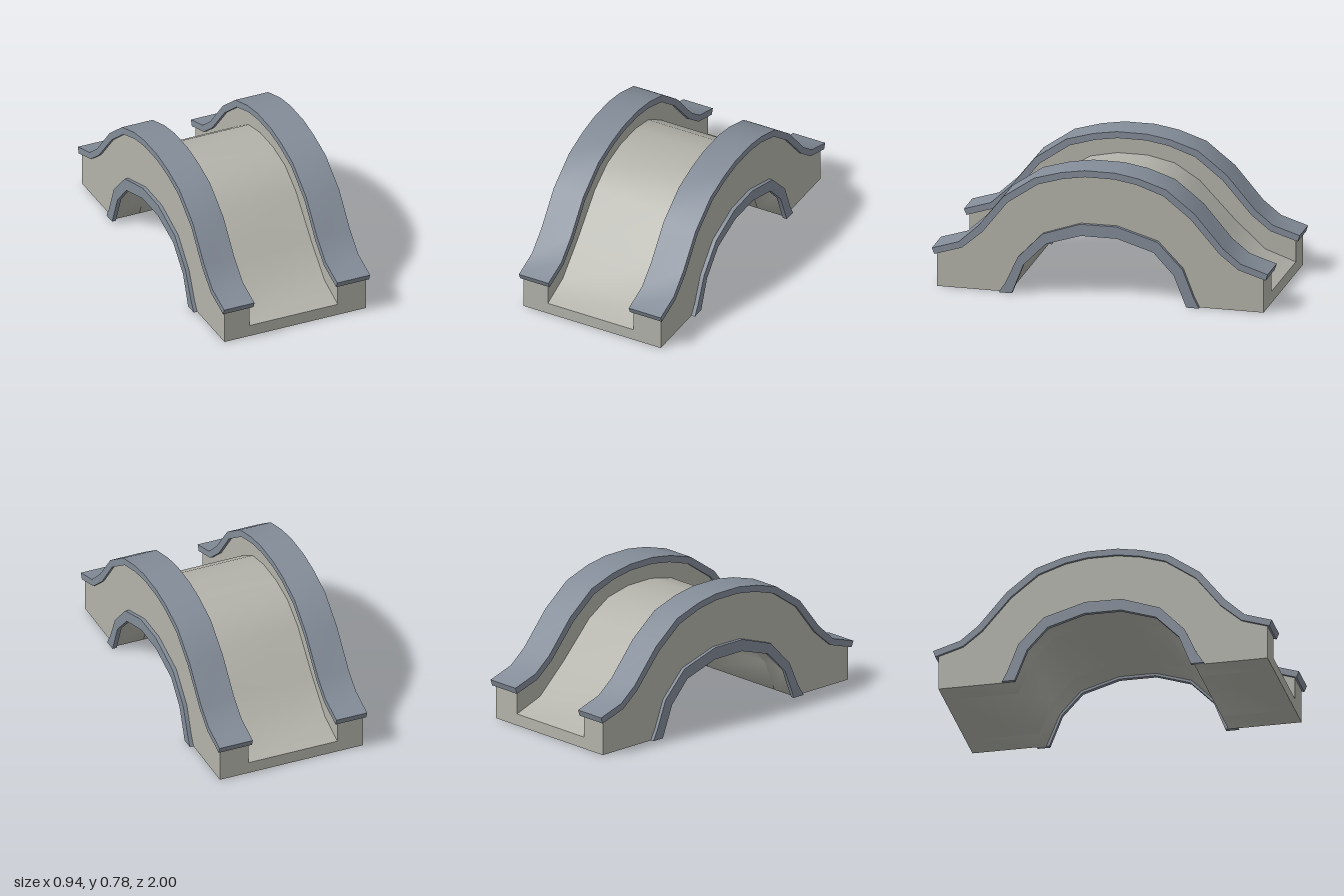
import * as THREE from 'three';
import { toCreasedNormals } from 'three/addons/utils/BufferGeometryUtils.js';

const stone = new THREE.MeshStandardMaterial({ color: 0xb3b3ab });
const slate = new THREE.MeshStandardMaterial({ color: 0x838c98 });

// Side profiles as [z, y], running from the front end to the back end
const capTop = [[1, 0.233], [0.84, 0.284], [0.725, 0.39], [0.575, 0.58], [0.39, 0.708], [0.23, 0.755], [0.09, 0.778],
  [-0.09, 0.778], [-0.23, 0.755], [-0.395, 0.701], [-0.565, 0.568], [-0.735, 0.37], [-0.84, 0.287], [-1, 0.237]];
const capBottom = [[0.985, 0.197], [0.82, 0.25], [0.698, 0.356], [0.55, 0.546], [0.37, 0.671], [0.22, 0.717], [0.085, 0.739],
  [-0.085, 0.739], [-0.22, 0.717], [-0.378, 0.662], [-0.54, 0.535], [-0.713, 0.337], [-0.825, 0.25], [-0.988, 0.2]];
const deckHalf = [[0.972, 0.07], [0.79, 0.134], [0.61, 0.298], [0.4, 0.518], [0.25, 0.611], [0.09, 0.645]];
const deckTop = [...deckHalf, ...deckHalf.map(([z, y]) => [-z, y]).reverse()];
const ringOuter = [[0.6, 0], [0.56, 0.062], [0.488, 0.22], [0.34, 0.375], [0.115, 0.453],
  [-0.1, 0.455], [-0.345, 0.382], [-0.495, 0.228], [-0.56, 0.062], [-0.592, 0]];
const ringInner = [[0.522, 0], [0.452, 0.179], [0.317, 0.317], [0.11, 0.383],
  [-0.105, 0.383], [-0.322, 0.317], [-0.443, 0.187], [-0.517, 0]];
const soffit = [[0.54, 0], [0.463, 0.187], [0.323, 0.331], [0.11, 0.398],
  [-0.105, 0.398], [-0.328, 0.331], [-0.455, 0.194], [-0.535, 0]];

// Extrudes a [z, y] outline across the bridge from x0 to x1
function slab(name, upper, lower, [x0, x1], material, crease) {
  const points = [...upper, ...[...lower].reverse()].map(([z, y]) => new THREE.Vector2(z, y));
  const geometry = new THREE.ExtrudeGeometry(new THREE.Shape(points), { depth: x1 - x0, bevelEnabled: false });
  geometry.rotateY(-Math.PI / 2);
  geometry.translate(x1, 0, 0);
  const mesh = new THREE.Mesh(toCreasedNormals(geometry, crease), material);
  mesh.name = name;
  return mesh;
}

export function createModel() {
  const bridge = new THREE.Group();
  bridge.name = 'archBridge';

  // Body outlines: feet at both ends and the arch opening below
  const underside = [[0.972, 0], ...soffit, [-0.972, 0]];
  const wallTop = [[0.972, 0.205], ...capBottom.slice(1, -1).map(([z, y]) => [z, y + 0.005]), [-0.972, 0.208]];

  // Roadway between the parapets; the arch shades softly into the feet
  const softFoot = 1.2;
  bridge.add(slab('deck', deckTop, underside, [-0.29, 0.27], stone, softFoot));

  // Parapet walls, their overhanging copings and the arch trims
  const sides = [
    { side: 'left', wall: [0.27, 0.449], cap: [0.254, 0.463], trim: [0.446, 0.472] },
    { side: 'right', wall: [-0.45, -0.29], cap: [-0.465, -0.272], trim: [-0.472, -0.448] },
  ];
  for (const { side, wall, cap, trim } of sides) {
    bridge.add(
      slab(side + 'Parapet', wallTop, underside, wall, stone, softFoot),
      slab(side + 'Coping', capTop, capBottom, cap, slate, 0.6),
      slab(side + 'ArchTrim', ringOuter, ringInner, trim, slate, 0.6),
    );
  }
  return bridge;
}
